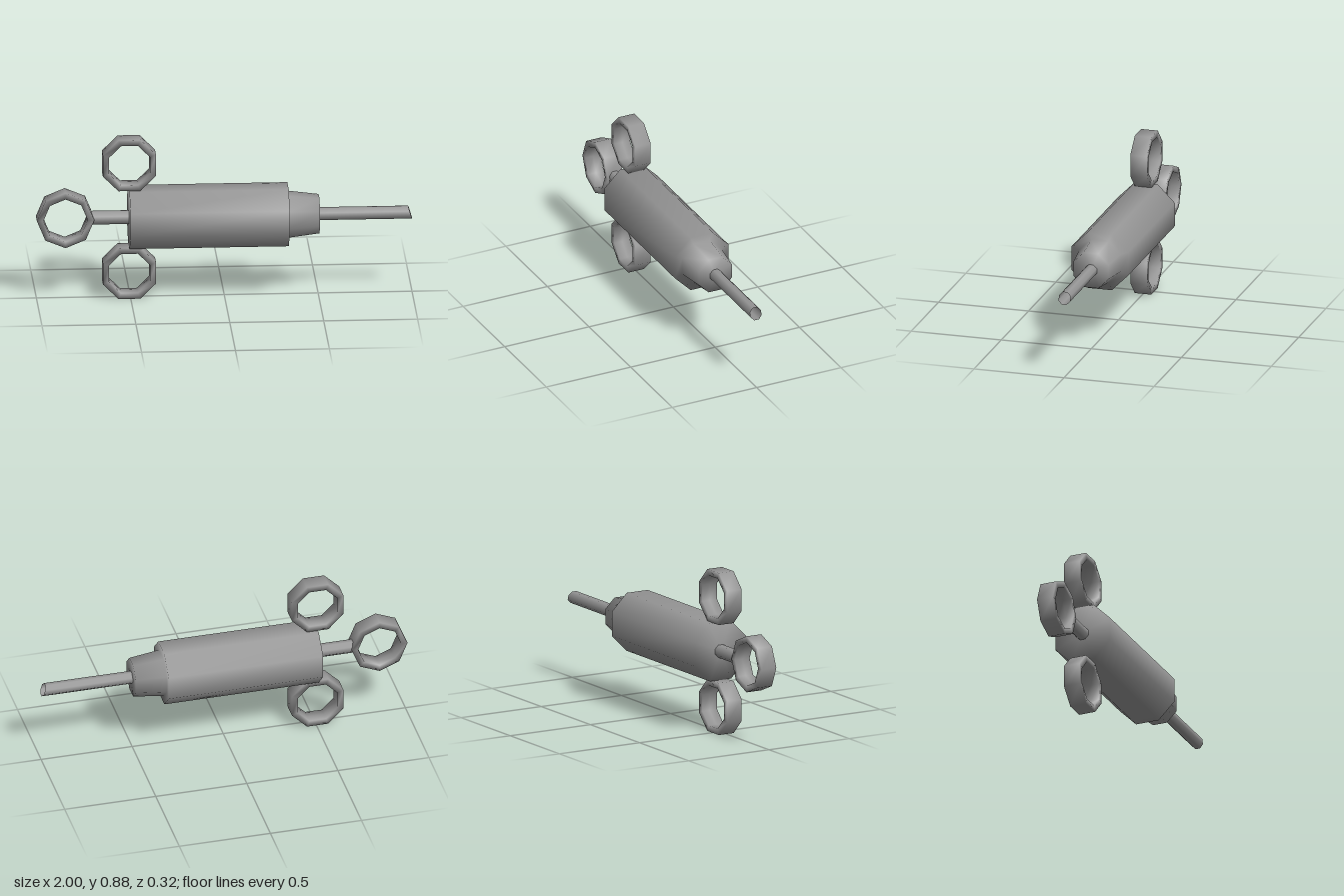
import * as THREE from 'three';

const AXIS_Y = 0.443;
const FLAT = Math.cos(Math.PI / 8); // octagon apothem / corner radius

const steel = new THREE.MeshStandardMaterial({ color: 0x969696 });
const steelDouble = new THREE.MeshStandardMaterial({ color: 0x969696, side: THREE.DoubleSide });
const green = new THREE.MeshStandardMaterial({ color: 0x00ff00 });

// Smooth eight-sided turned shape; profile points are [radius, position along axis]
function turned(points, start = Math.PI / 8) {
  return new THREE.LatheGeometry(points.map(([r, a]) => new THREE.Vector2(r, a)), 8, start);
}

// Turned part lying along x; radii are given across the flats
function alongX(name, points, material = steel) {
  const geometry = turned(points.map(([r, a]) => [r / FLAT, a]));
  geometry.rotateZ(-Math.PI / 2);
  const mesh = new THREE.Mesh(geometry, material);
  mesh.name = name;
  mesh.position.y = AXIS_Y;
  return mesh;
}

// Flat-banded octagonal grip ring facing z
function ring(name, x, y, start) {
  const outer = 0.153, inner = 0.118, half = 0.046;
  const geometry = turned([
    [inner, 0], [inner, -half], [outer, -half], [outer, half], [inner, half], [inner, 0],
  ], start);
  geometry.rotateX(Math.PI / 2);
  const mesh = new THREE.Mesh(geometry, steel);
  mesh.name = name;
  mesh.position.set(x, y, 0);
  return mesh;
}

export function createModel() {
  const group = new THREE.Group();
  group.name = 'syringe';

  // Barrel stepping into the tapered nozzle, one smooth skin
  group.add(alongX('barrelAndNozzle', [
    [0, -0.508], [0.158, -0.508], [0.158, 0.34], [0.116, 0.34], [0.097, 0.505], [0, 0.505],
  ]));

  // Plunger rod
  group.add(alongX('plungerRod', [[0.034, -0.715], [0.034, -0.505]]));

  // Hollow needle with a slanted tip, longer at the bottom
  const needle = alongX('needle', [[0.032, 0.5], [0.032, 0.99]], steelDouble);
  const p = needle.geometry.attributes.position;
  for (let i = 0; i < p.count; i++) {
    if (p.getX(i) > 0.9) p.setX(i, 0.99 - (p.getY(i) / 0.032) * 0.01);
  }
  group.add(needle);

  // Fluid seen down the needle
  group.add(alongX('fluid', [[0.0315, 0.5], [0.0315, 0.51], [0, 0.51]], green));

  // Thumb ring (corner up) and the pair of finger rings (flat up)
  group.add(ring('thumbRing', -0.847, AXIS_Y, 0));
  for (const [name, side] of [['upperFingerRing', 1], ['lowerFingerRing', -1]]) {
    group.add(ring(name, -0.507, AXIS_Y + side * 0.3, Math.PI / 8));
  }
  return group;
}
